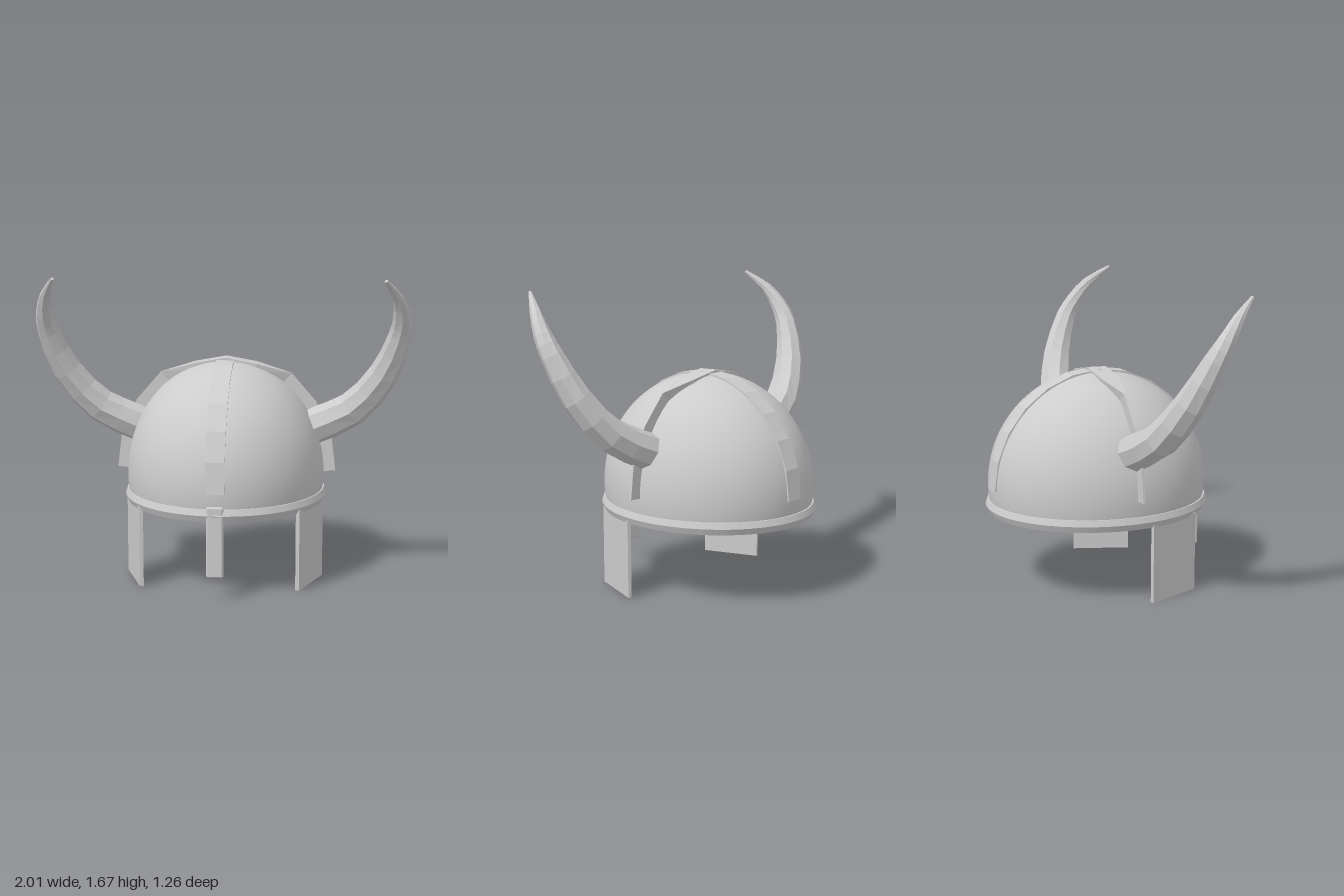
import * as THREE from 'three';

const steel = new THREE.MeshStandardMaterial({ color: 0xcccccc, side: THREE.DoubleSide });
steel.name = 'pale grey';

const V = (x, y, z) => new THREE.Vector3(x, y, z);

// Faceted solid through a list of equal-sized rings, capped at both ends
function loft(rings) {
  const tris = [];
  const n = rings[0].length;
  for (let i = 0; i < rings.length - 1; i++) {
    for (let j = 0; j < n; j++) {
      const k = (j + 1) % n;
      const [a, b, c, d] = [rings[i][j], rings[i][k], rings[i + 1][k], rings[i + 1][j]];
      tris.push([a, b, c], [a, c, d]);
    }
  }
  const first = rings[0], last = rings[rings.length - 1];
  for (let j = 1; j < n - 1; j++) {
    tris.push([first[0], first[j + 1], first[j]], [last[0], last[j], last[j + 1]]);
  }
  // Turn all faces outward
  let volume = 0;
  for (const [a, b, c] of tris) volume += a.dot(b.clone().cross(c));
  const points = tris.flatMap(([a, b, c]) => (volume < 0 ? [a, c, b] : [a, b, c]));
  const geometry = new THREE.BufferGeometry().setFromPoints(points);
  geometry.computeVertexNormals();
  return geometry;
}

// Curved, tapering eight-sided horn
function hornGeometry(side) {
  const stations = [
    [0.485, 0.825, -0.005, 0.102], [0.70, 0.935, 0.045, 0.095], [0.865, 1.14, 0.122, 0.081],
    [0.943, 1.36, 0.215, 0.06], [0.95, 1.46, 0.275, 0.048], [0.925, 1.565, 0.355, 0.031],
    [0.86, 1.663, 0.472, 0.009],
  ];
  const curve = new THREE.CatmullRomCurve3(stations.map(([x, y, z]) => V(x, y, z)));
  const rings = [];
  const steps = 12;
  for (let i = 0; i <= steps; i++) {
    const t = i / steps;
    const f = t * (stations.length - 1);
    const k = Math.min(Math.floor(f), stations.length - 2);
    const r = THREE.MathUtils.lerp(stations[k][3], stations[k + 1][3], f - k);
    const p = curve.getPoint(t);
    const dir = curve.getTangent(t);
    const u = V(0, 0, 1).cross(dir).normalize();
    const w = dir.clone().cross(u);
    const ring = [];
    for (let j = 0; j < 8; j++) {
      const a = (j / 8) * Math.PI * 2;
      const q = p.clone().addScaledVector(u, r * Math.cos(a)).addScaledVector(w, r * Math.sin(a));
      ring.push(V(q.x * side, q.y, q.z));
    }
    rings.push(ring);
  }
  return loft(rings);
}

// Half of the cross strap: outer x, y, inner x, y, half width
const strapSections = [
  [0, 1.207, 0, 1.17, 0.055],
  [0.175, 1.175, 0.165, 1.14, 0.055],
  [0.364, 1.12, 0.31, 1.06, 0.006],
  [0.5, 0.963, 0.43, 0.91, 0.006],
  [0.588, 0.76, 0.51, 0.74, 0.006],
  [0.61, 0.578, 0.535, 0.573, 0.006],
];
function strapGeometry(side) {
  return loft(strapSections.map(([ox, oy, ix, iy, h]) => [
    V(ox * side, oy, h), V(ox * side, oy, -h), V(ix * side, iy, -h), V(ix * side, iy, h),
  ]));
}

// Flat cheek plate set along the oval of the rim
function cheekGeometry(side) {
  const outline = [[0.545, 0.09], [0.43, 0.4], [0.41, 0.395], [0.527, 0.083]];
  return loft([0, 0.44].map((y) => outline.map(([x, z]) => V(x * side, y, z))));
}

export function createModel() {
  const model = new THREE.Group();
  model.name = 'hornedHelmet';
  const add = (name, geometry) => {
    const mesh = new THREE.Mesh(geometry, steel);
    mesh.name = name;
    model.add(mesh);
    return mesh;
  };

  // Smooth open dome
  const bowl = new THREE.SphereGeometry(1, 64, 32, 0, Math.PI * 2, 0, Math.acos(-0.12 / 0.62));
  bowl.scale(0.545, 0.62, 0.615).translate(0, 0.57, 0);
  add('dome', bowl);

  // Oval rim with a ridge; each face of the profile is its own smooth strip
  const profile = [[0.575, 0.42], [0.613, 0.42], [0.63, 0.455], [0.618, 0.488], [0.59, 0.488], [0.575, 0.42]];
  const rim = new THREE.Group();
  rim.name = 'rim';
  for (let i = 0; i < profile.length - 1; i++) {
    const strip = new THREE.LatheGeometry([profile[i], profile[i + 1]].map(([r, y]) => new THREE.Vector2(r, y)), 64);
    strip.scale(0.886, 1, 1);
    const mesh = new THREE.Mesh(strip, steel);
    mesh.name = 'rimFace';
    rim.add(mesh);
  }
  model.add(rim);

  // Faceted band from front to back over the crown
  const bandRings = [];
  for (let i = 0; i <= 12; i++) {
    const a = (i / 12) * Math.PI;
    const at = (x, r) => V(x, 0.57 + (r + 0.007) * Math.sin(a), r * Math.cos(a));
    bandRings.push([at(-0.05, 0.624), at(0.05, 0.624), at(0.05, 0.605), at(-0.05, 0.605)]);
  }
  add('crownBand', loft(bandRings));

  // Nose guard with trimmed edges
  const c = 0.008;
  const guardRing = (y, inset) => {
    const x = 0.045 - inset, f = 0.627 - inset, b = 0.592 + inset;
    return [
      V(-x + c, y, f), V(x - c, y, f), V(x, y, f - c), V(x, y, b + c),
      V(x - c, y, b), V(-x + c, y, b), V(-x, y, b + c), V(-x, y, f - c),
    ];
  };
  add('noseGuard', loft([guardRing(0.123, 0.006), guardRing(0.131, 0), guardRing(0.494, 0), guardRing(0.502, 0.006)]));

  // Mirrored parts
  for (const [side, label] of [[1, 'left'], [-1, 'right']]) {
    add(label + 'Horn', hornGeometry(side));
    add(label + 'Strap', strapGeometry(side));
    add(label + 'CheekPlate', cheekGeometry(side));
  }
  return model;
}
